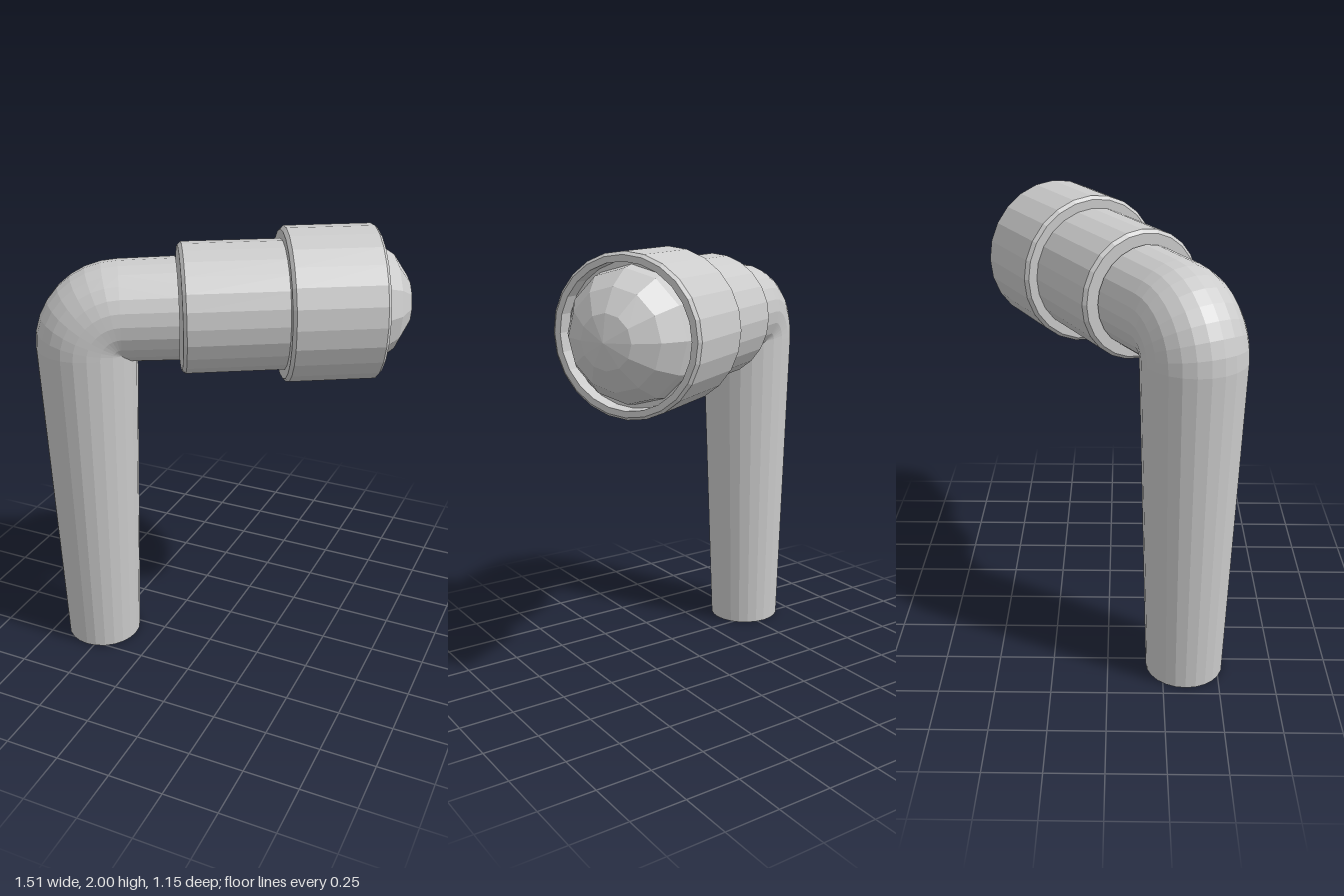
import * as THREE from 'three';

export function createModel() {
  const model = new THREE.Group();
  const lamp = new THREE.Group();
  lamp.name = 'lampPost';
  // the arm runs along the local +x axis, swung 30 degrees toward the back
  lamp.position.set(-0.535, 0, 0.35);
  lamp.rotation.y = Math.PI / 6;
  model.add(lamp);

  const material = new THREE.MeshStandardMaterial({
    color: 0xcccccc, flatShading: true, side: THREE.DoubleSide,
  });
  const SIDES = 24, AXIS = 1.657, BEND = 0.15, R = 0.223;
  const bendY = AXIS - BEND;

  const add = (name, geometry, x, y, turn = 0) => {
    const mesh = new THREE.Mesh(geometry, material);
    mesh.name = name;
    mesh.position.set(x, y, 0);
    mesh.rotation.z = turn;
    lamp.add(mesh);
  };
  // profile of [radius, distance along the arm], turned onto the arm axis
  const turned = (name, profile) => add(name,
    new THREE.LatheGeometry(profile.map(p => new THREE.Vector2(...p)), SIDES),
    0, AXIS, -Math.PI / 2);

  // tapered pole, open at the foot
  add('pole', new THREE.CylinderGeometry(R, 0.175, bendY, SIDES, 1, true), 0, bendY / 2);

  // tight elbow and short arm
  add('elbow', new THREE.TorusGeometry(BEND, R, SIDES, 8, Math.PI / 2), BEND, bendY, Math.PI / 2);
  const armEnd = 0.397;
  add('arm', new THREE.CylinderGeometry(R + 0.004, R, armEnd - BEND, SIDES),
    (BEND + armEnd) / 2, AXIS, -Math.PI / 2);

  // stepped housing with bevelled edges
  turned('sleeve', [[0, 0.408], [0.273, 0.408], [0.288, 0.423], [0.288, 0.9], [0, 0.9]]);
  turned('lampHousing', [
    [0, 0.858], [0.328, 0.858], [0.343, 0.873], [0.343, 1.258],
    [0.33, 1.271], [0.303, 1.271], [0.303, 1.2], [0, 1.2],
  ]);

  // faceted dome lens
  add('lens', new THREE.SphereGeometry(0.3, 12, 4, 0, Math.PI * 2, 0, Math.PI / 2),
    1.14, AXIS, -Math.PI / 2);

  return model;
}
